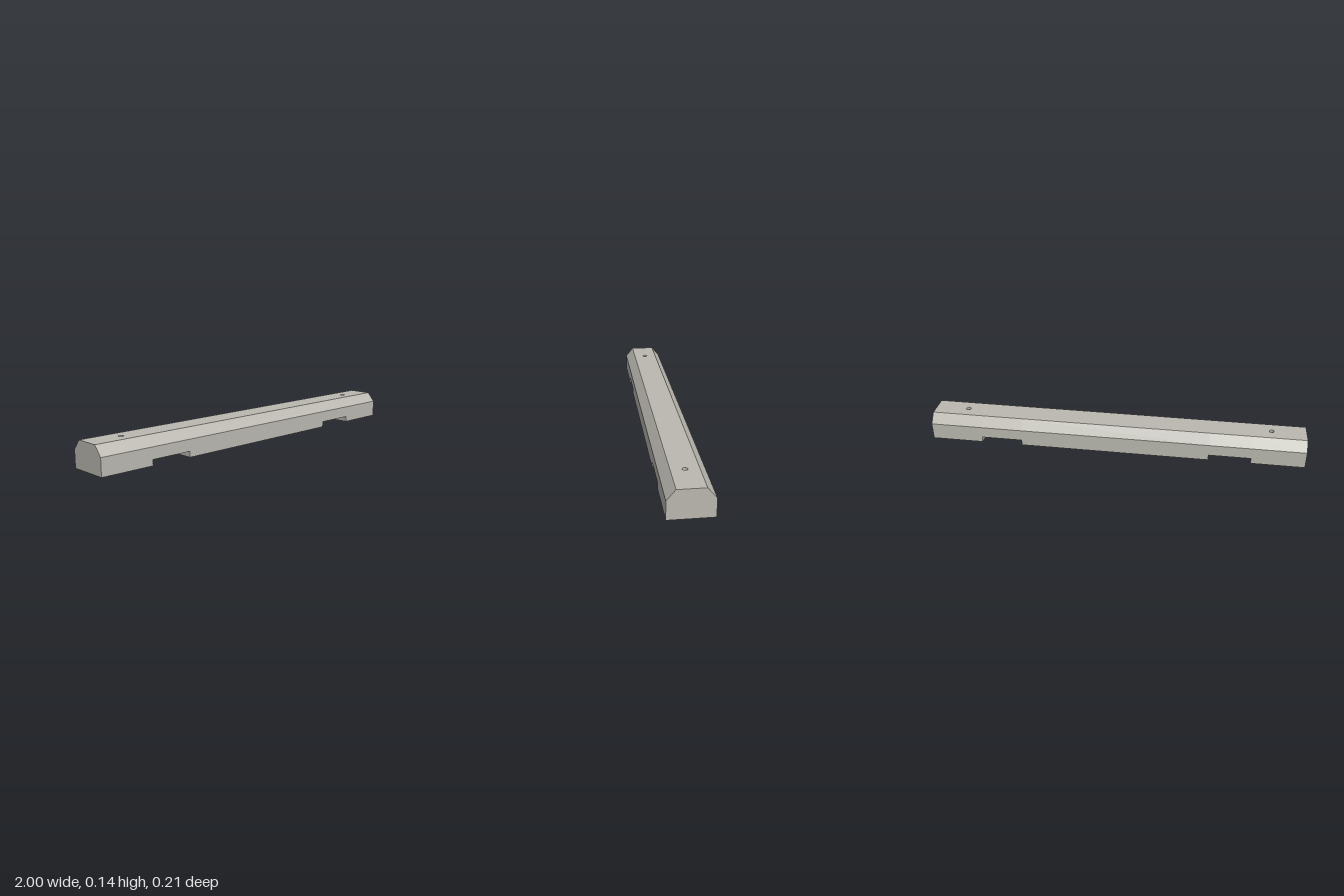
import * as THREE from 'three';
import { mergeGeometries } from 'three/addons/utils/BufferGeometryUtils.js';

const HALF_WIDTH = 0.107, TOP_HALF = 0.065;
const NOTCH_Y = 0.03, SHOULDER_Y = 0.09, TOP_Y = 0.14;
const HOLE_X = 0.82, HOLE_R = 0.013;
const CUTS = [-1, -0.722, -0.502, 0.502, 0.722, 1];

// One length of the kerb: a plan outline raised through the given heights
function segment(x0, x1, levels) {
  const plan = new THREE.Shape([
    new THREE.Vector2(x0, -HALF_WIDTH), new THREE.Vector2(x1, -HALF_WIDTH),
    new THREE.Vector2(x1, HALF_WIDTH), new THREE.Vector2(x0, HALF_WIDTH),
  ]);
  // Vertical pin holes near the ends
  for (const hx of [-HOLE_X, HOLE_X]) {
    if (hx > x0 && hx < x1) {
      plan.holes.push(new THREE.Path().absarc(hx, 0, HOLE_R, 0, Math.PI * 2, true));
    }
  }
  const steps = levels.length - 1;
  const geo = new THREE.ExtrudeGeometry(plan, { depth: 1, steps, bevelEnabled: false, curveSegments: 8 });
  geo.rotateX(-Math.PI / 2);

  // Set the real heights and draw the top edges in to form the chamfers
  const p = geo.attributes.position;
  for (let i = 0; i < p.count; i++) {
    const y = levels[Math.round(p.getY(i) * steps)];
    p.setY(i, y);
    if (y === TOP_Y && Math.abs(p.getZ(i)) > 0.1) p.setZ(i, Math.sign(p.getZ(i)) * TOP_HALF);
  }

  // Leave out the hidden walls where two lengths meet
  const kept = [];
  for (let i = 0; i < p.count; i += 3) {
    const ids = [i, i + 1, i + 2];
    const x = p.getX(i);
    const flat = ids.every((k) => Math.abs(p.getX(k) - x) < 1e-5);
    const midY = ids.reduce((s, k) => s + p.getY(k) / 3, 0);
    const atJoint = flat && CUTS.slice(1, -1).some((c) => Math.abs(c - x) < 1e-5);
    if (atJoint && midY > NOTCH_Y) continue;
    for (const k of ids) kept.push(p.getX(k), p.getY(k), p.getZ(k));
  }
  const out = new THREE.BufferGeometry();
  out.setAttribute('position', new THREE.Float32BufferAttribute(kept, 3));
  return out;
}

export function createModel() {
  const group = new THREE.Group();
  group.name = 'parkingKerb';
  const concrete = new THREE.MeshStandardMaterial({ color: 0xbab8b0 });
  concrete.name = 'concrete';

  // Every second length is raised off the ground as a drainage notch
  const parts = [];
  for (let i = 0; i < CUTS.length - 1; i++) {
    const levels = [NOTCH_Y, SHOULDER_Y, TOP_Y];
    if (i % 2 === 0) levels.unshift(0);
    parts.push(segment(CUTS[i], CUTS[i + 1], levels));
  }
  const geometry = mergeGeometries(parts);
  geometry.computeVertexNormals();
  const body = new THREE.Mesh(geometry, concrete);
  body.name = 'kerbBody';
  group.add(body);
  return group;
}
